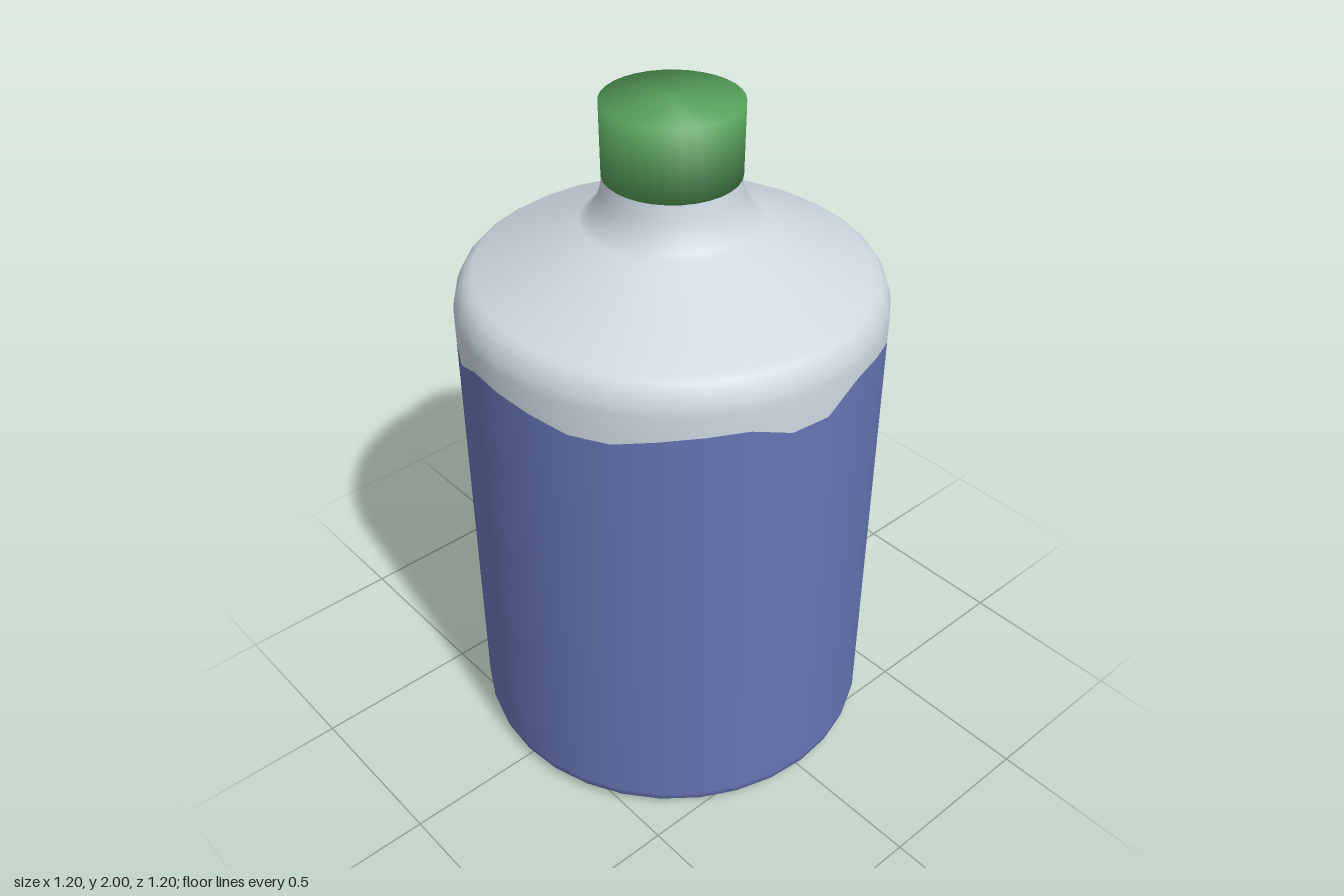
import * as THREE from 'three';

const SIDES = 32;

// Height of the liquid line at each side, from the front towards +x and around
const LINE = [
  1.37, 1.36, 1.34, 1.34, 1.36, 1.37, 1.37, 1.33,
  1.33, 1.39, 1.39, 1.365, 1.31, 1.31, 1.36, 1.38,
  1.385, 1.39, 1.385, 1.36, 1.36, 1.38, 1.39, 1.39,
  1.38, 1.38, 1.38, 1.36, 1.355, 1.32, 1.32, 1.37,
];

// Turned part; waveRow is the profile point that follows the liquid line
function turned(name, color, profile, waveRow = -1) {
  const points = profile.map(([r, y]) => new THREE.Vector2(r, y));
  const geometry = new THREE.LatheGeometry(points, SIDES);
  if (waveRow >= 0) {
    const position = geometry.attributes.position;
    for (let i = 0; i <= SIDES; i++) {
      position.setY(i * points.length + waveRow, LINE[i % SIDES]);
    }
  }
  const mesh = new THREE.Mesh(
    geometry,
    new THREE.MeshStandardMaterial({ color, side: THREE.DoubleSide })
  );
  mesh.name = name;
  return mesh;
}

export function createModel() {
  const group = new THREE.Group();
  group.name = 'bottle';

  // Coloured lower body with a rounded foot and a wavy top edge
  group.add(turned('lowerBody', 0x6674b4, [
    [0, 0], [0.53, 0], [0.555, 0.002], [0.58, 0.012], [0.594, 0.028], [0.6, 0.055], [0.6, 1.36],
  ], 6));

  // Pale upper body: wall, rounded shoulder, cone and flared neck
  group.add(turned('shoulderAndNeck', 0xcdd8e1, [
    [0.6, 1.36], [0.6, 1.43], [0.595, 1.46], [0.583, 1.49], [0.567, 1.51], [0.545, 1.525],
    [0.25, 1.665], [0.23, 1.677], [0.207, 1.71], [0.192, 1.75], [0.183, 1.8],
  ], 0));

  // Screw cap, closed above and below
  group.add(turned('cap', 0x58a25c, [
    [0, 1.795], [0.188, 1.795], [0.19, 2], [0, 2],
  ]));

  return group;
}
